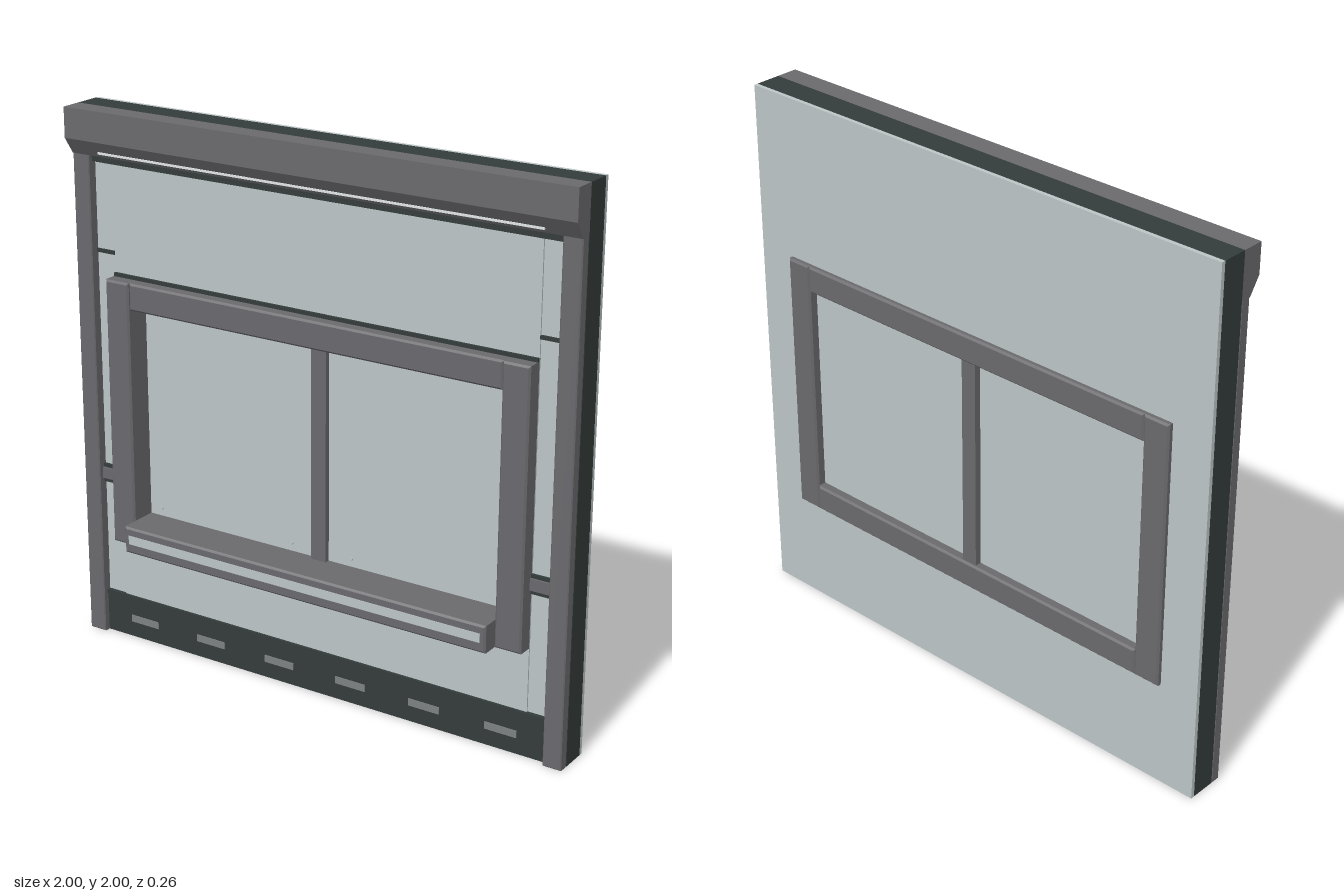
import * as THREE from 'three';

const mat = (name, color) => {
  const m = new THREE.MeshStandardMaterial({ color });
  m.name = name;
  return m;
};

export function createModel() {
  const grey = mat('frame grey', 0x6a6a6e);
  const light = mat('panel light grey', 0xbcc5c6);
  const dark = mat('core dark green grey', 0x343c3b);
  const ventGrey = mat('vent grey', 0x7c8181);
  const white = mat('lamp white', 0xe6eceb);

  const root = new THREE.Group();
  root.name = 'windowWall';

  const add = (name, geometry, material) => {
    const mesh = new THREE.Mesh(geometry, material);
    mesh.name = name;
    root.add(mesh);
    return mesh;
  };

  // Box given by its limits on each axis
  const box = (name, m, x0, x1, y0, y1, z0, z1) =>
    add(name, new THREE.BoxGeometry(x1 - x0, y1 - y0, z1 - z0)
      .translate((x0 + x1) / 2, (y0 + y1) / 2, (z0 + z1) / 2), m);

  const rect = (S, x0, x1, y0, y1) => {
    const s = new S();
    s.moveTo(x0, y0);
    s.lineTo(x1, y0);
    s.lineTo(x1, y1);
    s.lineTo(x0, y1);
    s.closePath();
    return s;
  };

  // Box with small chamfered edges
  const bevelBox = (name, m, x0, x1, y0, y1, z0, z1, b = 0.007) =>
    add(name, new THREE.ExtrudeGeometry(rect(THREE.Shape, x0 + b, x1 - b, y0 + b, y1 - b), {
      depth: z1 - z0 - 2 * b, bevelEnabled: true, bevelSize: b, bevelThickness: b, bevelSegments: 1,
    }).translate(0, 0, z0 + b), m);

  // Slab with the window opening cut out
  const slab = (name, m, halfWidth, y0, y1, z0, z1) => {
    const s = rect(THREE.Shape, -halfWidth, halfWidth, y0, y1);
    s.holes.push(rect(THREE.Path, -0.8, 0.8, 0.45, 1.35));
    return add(name, new THREE.ExtrudeGeometry(s, { depth: z1 - z0, bevelEnabled: false })
      .translate(0, 0, z0), m);
  };

  // Wall layers
  slab('wallCore', dark, 1, 0, 2, -0.095, 0);
  slab('backPanel', light, 1, 0, 2, -0.11, -0.095);
  slab('frontPanel', light, 0.85, 0.16, 1.815, 0, 0.01);

  // Side strips, seams, bands and outer posts
  for (const s of [-1, 1]) {
    const side = s < 0 ? 'right' : 'left';
    const span = (a, b) => (s > 0 ? [a, b] : [-b, -a]);
    const strip = span(0.85, 0.93);
    box(side + 'SidePanel', light, ...strip, 0.16, 1.815, 0, 0.004);
    box(side + 'Seam', dark, ...strip, 1.475, 1.488, 0, 0.012);
    box(side + 'BandBacking', dark, ...strip, 0.6, 0.67, 0, 0.014);
    box(side + 'Band', grey, ...strip, 0.615, 0.657, 0, 0.022);
    bevelBox(side + 'Post', grey, ...span(0.93, 1), 0, 1.84, 0, 0.04, 0.004);
  }

  // Base board with vents
  box('baseBoard', dark, -0.93, 0.93, 0, 0.15, 0, 0.015);
  box('baseTrim', dark, -0.93, 0.93, 0.15, 0.165, 0, 0.02);
  for (let i = 0; i < 6; i++) {
    const x = -0.757 + i * 0.3025;
    box('vent', ventGrey, x - 0.062, x + 0.062, 0.06, 0.087, 0.014, 0.018);
  }

  // Top beam: profile in (z, y) swept along x
  const profile = new THREE.Shape(
    [[0, 1.83], [0.04, 1.83], [0.08, 1.89], [0.08, 2], [0, 2]].map(([z, y]) => new THREE.Vector2(-z, y)));
  add('topBeam', new THREE.ExtrudeGeometry(profile, { depth: 2, bevelEnabled: false })
    .rotateY(Math.PI / 2).translate(-1, 0, 0), grey);
  box('beamTrim', dark, -0.93, 0.93, 1.805, 1.83, 0, 0.022);
  box('beamLamp', white, -0.875, 0.875, 1.843, 1.851, 0.045, 0.057);

  // Window frame, passing through the wall
  for (const s of [-1, 1]) {
    bevelBox('windowStile', grey, s * 0.8 - 0.05, s * 0.8 + 0.05, 0.4, 1.4, -0.13, 0.07);
  }
  bevelBox('windowTopRail', grey, -0.75, 0.75, 1.3, 1.4, -0.13, 0.065);
  bevelBox('windowSill', grey, -0.75, 0.75, 0.4, 0.5, -0.13, 0.13);
  box('sillStrip', light, -0.73, 0.73, 0.437, 0.47, 0.126, 0.132);
  box('windowHeadTrim', dark, -0.85, 0.85, 1.4, 1.413, 0, 0.02);

  // Panes, mullion and pane studs
  box('pane', light, -0.76, 0.76, 0.49, 1.31, -0.095, -0.03);
  box('mullion', grey, -0.03, 0.03, 0.49, 1.31, -0.12, -0.01);
  for (const x of [-0.7, -0.125, 0.125, 0.7]) {
    for (const y of [0.53, 1.27]) {
      add('paneStud', new THREE.CylinderGeometry(0.006, 0.006, 0.008, 10)
        .rotateX(Math.PI / 2).translate(x, y, -0.028), light);
    }
  }

  return root;
}
